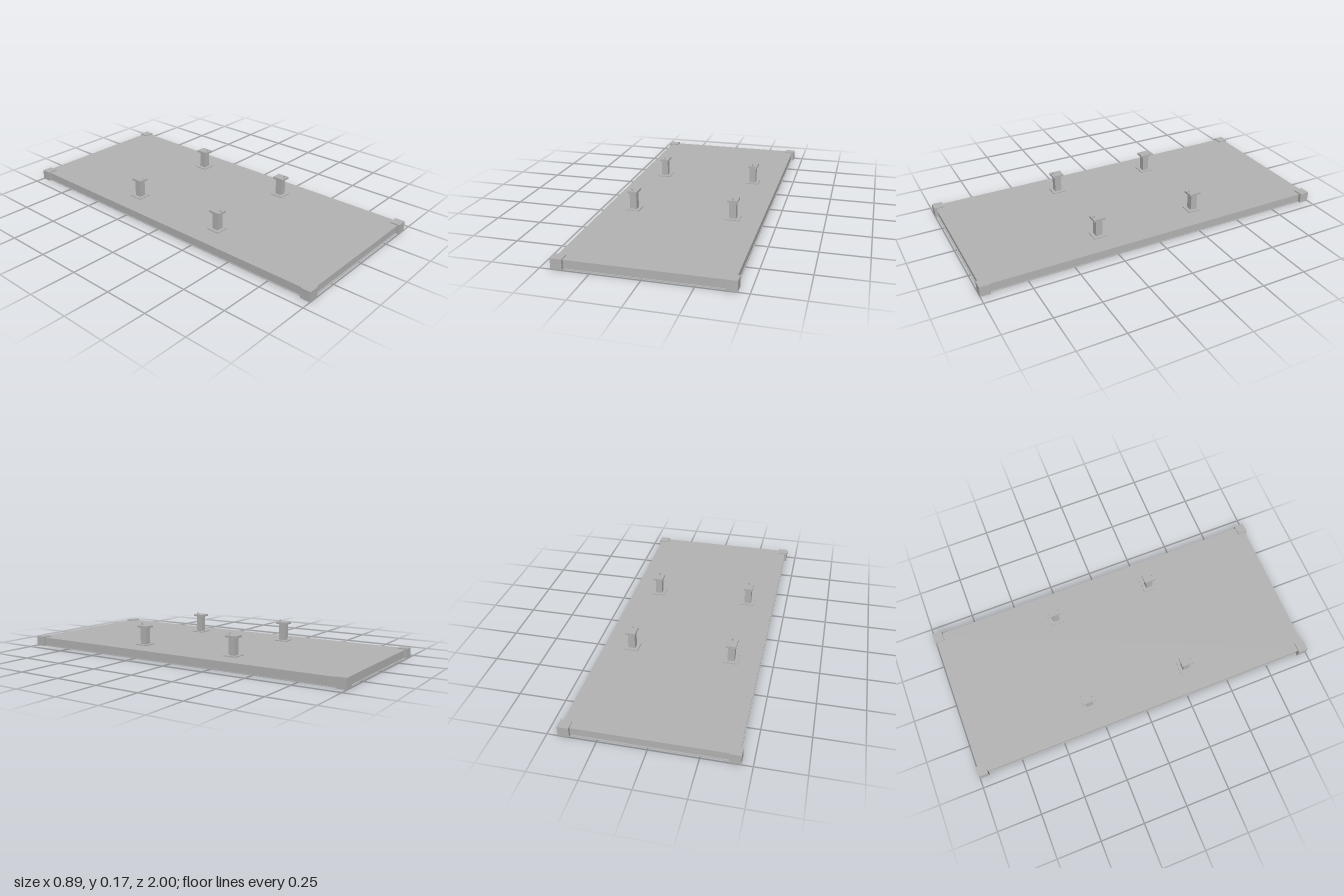
import * as THREE from 'three';

export function createModel() {
  const model = new THREE.Group();
  model.name = 'flatPlatform';
  const steel = new THREE.MeshStandardMaterial({ color: 0xb4b4b4 });
  steel.name = 'grey steel';

  // box given by its centre in x and z, its underside and its size
  const box = (parent, name, [w, h, d], [x, y, z]) => {
    const mesh = new THREE.Mesh(new THREE.BoxGeometry(w, h, d), steel);
    mesh.name = name;
    mesh.position.set(x, y + h / 2, z);
    parent.add(mesh);
    return mesh;
  };

  // deck plate
  box(model, 'deck', [0.858, 0.005, 1.972], [0, 0.045, 0]);

  for (const s of [-1, 1]) {
    // perimeter rails, with thin lips along the bottom and top edges
    box(model, 'sideRail', [0.037, 0.045, 1.89], [s * 0.4085, 0, 0]);
    box(model, 'endRail', [0.774, 0.045, 0.037], [0, 0, s * 0.9635]);
    for (const y of [0, 0.047]) {
      box(model, 'sideRailLip', [0.006, 0.003, 1.89], [s * 0.429, y, 0]);
      box(model, 'endRailLip', [0.774, 0.003, 0.008], [0, y, s * 0.985]);
    }
    // flat straps running the length of the underside
    box(model, 'underStrap', [0.045, 0.005, 1.89], [s * 0.215, 0, 0]);
    // corner blocks
    for (const t of [-1, 1]) {
      box(model, 'cornerBlock', [0.058, 0.056, 0.055], [s * 0.416, 0, t * 0.9725]);
    }
  }

  // cross beams under the deck
  for (let i = -2; i <= 2; i++) {
    box(model, 'crossBeam', [0.78, 0.043, 0.036], [0, 0.002, i * 0.3]);
  }

  // support posts: foot plate, square column, cap and locating pin
  for (const x of [-0.277, 0.277]) {
    for (const z of [-0.295, 0.295]) {
      const post = new THREE.Group();
      post.name = 'supportPost';
      post.position.set(x, 0.05, z);
      box(post, 'footPlate', [0.077, 0.005, 0.077], [0, 0, 0]);
      box(post, 'column', [0.038, 0.094, 0.038], [0, 0.005, 0]);
      box(post, 'cap', [0.055, 0.012, 0.068], [0, 0.098, 0]);
      const pin = new THREE.Mesh(new THREE.CylinderGeometry(0.004, 0.004, 0.012, 12), steel);
      pin.name = 'pin';
      pin.position.set(0, 0.116, 0.023);
      post.add(pin);
      model.add(post);
    }
  }
  return model;
}
